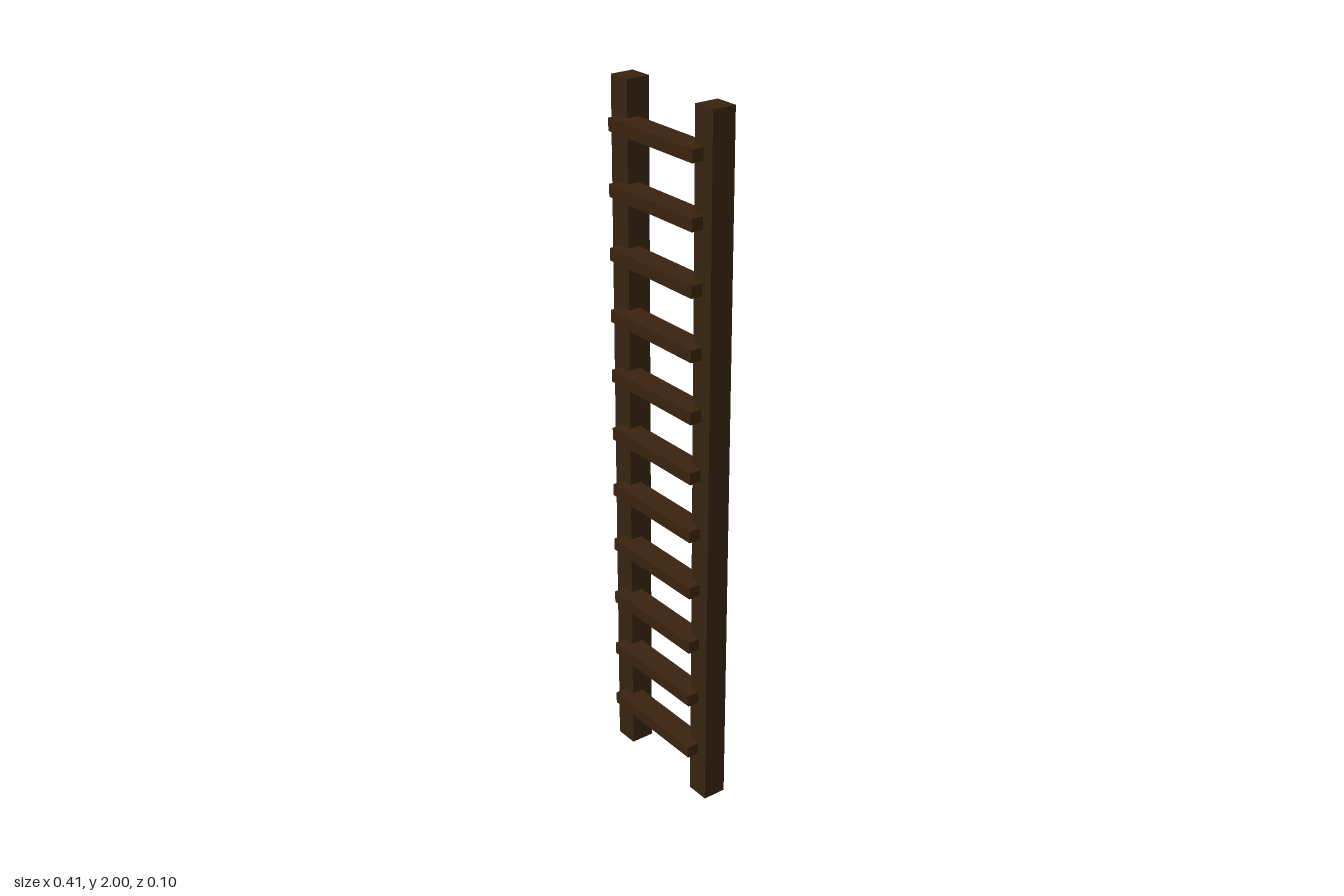
import * as THREE from 'three';

export function createModel() {
  const ladder = new THREE.Group();
  ladder.name = 'ladder';

  const railWood = new THREE.MeshStandardMaterial({ color: 0x36230f });
  railWood.name = 'dark rail wood';
  const rungWood = new THREE.MeshStandardMaterial({ color: 0x3a220d });
  rungWood.name = 'dark rung wood';

  // Two square side rails, set towards the back
  const railGeometry = new THREE.BoxGeometry(0.0687, 2, 0.0687);
  for (const side of [-1, 1]) {
    const rail = new THREE.Mesh(railGeometry, railWood);
    rail.name = side > 0 ? 'leftRail' : 'rightRail';
    rail.position.set(side * 0.172, 1, -0.0172);
    ladder.add(rail);
  }

  // Flat rungs, half let into the front of the rails
  const rungCount = 11;
  const rungGeometry = new THREE.BoxGeometry(0.344, 0.0344, 0.0687);
  for (let i = 0; i < rungCount; i++) {
    const rung = new THREE.Mesh(rungGeometry, rungWood);
    rung.name = `rung${i + 1}`;
    rung.position.set(0, 0.155 + i * 0.1729, 0.0172);
    ladder.add(rung);
  }

  return ladder;
}
